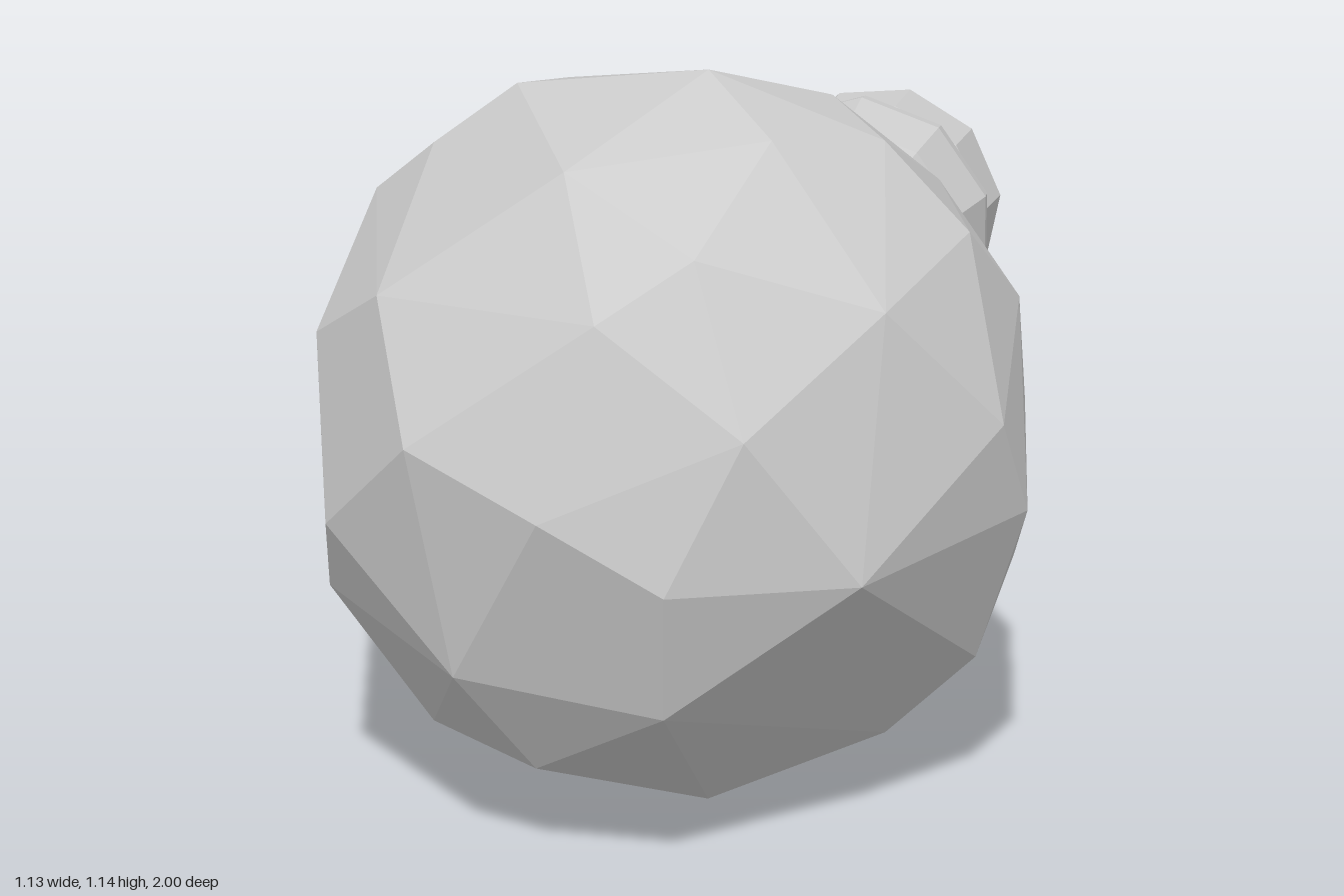
import * as THREE from 'three';
import { ConvexGeometry } from 'three/addons/geometries/ConvexGeometry.js';

const CENTER_Y = 0.57, BULB_Z = 0.43, BULB_R = 0.57;
const SIDES = 10;

const material = new THREE.MeshStandardMaterial({ color: 0xcccccc, flatShading: true });

// Faceted turned part along the z axis; profile is [radius, z] from front to back
function turned(name, profile, twist = 0) {
  const points = profile.map(([r, z]) => new THREE.Vector2(r, -z));
  const geometry = new THREE.LatheGeometry(points, SIDES, twist);
  geometry.rotateX(-Math.PI / 2);
  geometry.translate(0, CENTER_Y, 0);
  const mesh = new THREE.Mesh(geometry, material);
  mesh.name = name;
  return mesh;
}

// Ring of points around the z axis
function ring(count, radius, z, offset = 0) {
  return Array.from({ length: count }, (_, i) => {
    const a = ((i + offset) / count) * Math.PI * 2;
    return new THREE.Vector3(Math.sin(a) * radius, CENTER_Y + Math.cos(a) * radius, z);
  });
}

// Irregular facet corners of the bulb's front half, as x, y on a sphere
const facetCorners = [
  // outline
  [-0.24, 1.10], [0.06, 1.14], [0.33, 1.05], [0.46, 0.92], [0.545, 0.67], [0.565, 0.51],
  [0.48, 0.25], [0.34, 0.11], [0.09, 0.02], [-0.07, 0], [-0.26, 0.06], [-0.435, 0.21],
  [-0.535, 0.34], [-0.565, 0.64], [-0.47, 0.92], [-0.36, 1.01],
  // inner corners
  [-0.07, 1.05], [0.2, 1.08], [0.15, 0.96], [0.4, 0.87], [0.03, 0.88], [-0.34, 0.86],
  [-0.48, 0.76], [-0.25, 0.68], [0.25, 0.73], [-0.03, 0.61], [0.15, 0.51], [0.4, 0.5],
  [-0.42, 0.51], [-0.46, 0.37], [-0.19, 0.33], [0.13, 0.3], [-0.3, 0.165], [-0.1, 0.155],
];

function bulb() {
  const front = facetCorners.map(([x, y]) => {
    const rise = BULB_R ** 2 - x ** 2 - (y - CENTER_Y) ** 2;
    return new THREE.Vector3(x, y, BULB_Z + Math.sqrt(Math.max(0, rise)));
  });
  // the back half tapers through two staggered rings to the neck
  const back = [
    ...ring(8, 0.545, 0.27, 0.5),
    ...ring(8, 0.487, 0.13),
    ...ring(SIDES, 0.208, -0.31),
  ];
  const mesh = new THREE.Mesh(new ConvexGeometry([...front, ...back]), material);
  mesh.name = 'bulb';
  return mesh;
}

export function createModel() {
  const model = new THREE.Group();
  model.name = 'flask';
  model.add(
    bulb(),
    turned('neck', [[0.2, -0.305], [0.17, -0.545]]),
    // flared lip with a bevelled rim
    turned('collar', [[0.168, -0.54], [0.215, -0.65], [0.24, -0.755], [0.236, -0.785], [0.18, -0.81], [0, -0.81]]),
    // domed stopper
    turned('stopper', [[0, -0.8], [0.175, -0.805], [0.21, -0.84], [0.215, -0.95], [0.12, -0.995], [0, -1]], 0.2),
  );
  return model;
}
